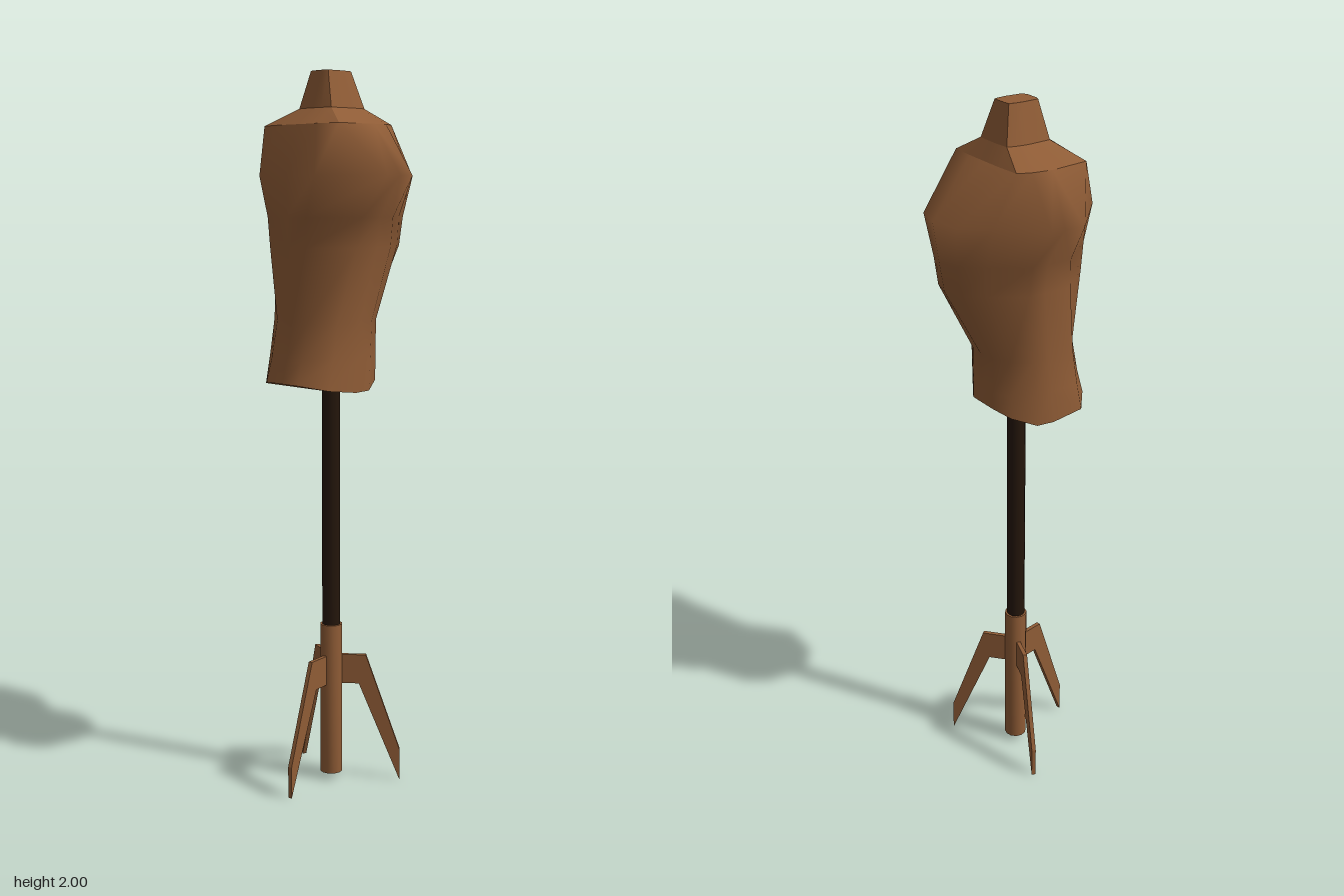
import * as THREE from 'three';
import { toCreasedNormals } from 'three/addons/utils/BufferGeometryUtils.js';

const CX = -0.031, CZ = -0.012; // axis of the stand
const wood = new THREE.MeshStandardMaterial({ color: 0x8f5c36 });
const woodThin = new THREE.MeshStandardMaterial({ color: 0x8f5c36, side: THREE.DoubleSide });
const dark = new THREE.MeshStandardMaterial({ color: 0x24160b });

function add(group, name, geometry, material) {
  const mesh = new THREE.Mesh(geometry, material);
  mesh.name = name;
  group.add(mesh);
  return mesh;
}

// Half outlines from back to chest: [fraction of depth, fraction of half width]
const bust = [[0, 0], [0, 0.44], [0.31, 1], [0.44, 0.97], [0.54, 0.98], [0.78, 0.54], [0.95, 0.31], [1, 0]];
const box = [[0, 0], [0, 0.48], [0.06, 0.92], [0.57, 1], [0.82, 0.94], [0.98, 0.84], [1, 0.4], [1, 0]];

// Rings from hip to neck: height, back x, front x, centre z, half width, blend from bust to box
const hem = [1.138, -0.21, 0.09, -0.016, 0.135, 0.5];
const shoulder = [1.855, -0.15, 0.075, -0.016, 0.161, 1];
const neckBase = [1.9, -0.09, 0.05, -0.019, 0.069, 1];
const neckTop = [2, -0.07, 0.025, -0.02, 0.037, 1];
const bodyRings = [
  hem,
  [1.23, -0.19, 0.09, -0.017, 0.134, 0.5],
  [1.33, -0.17, 0.09, -0.017, 0.133, 0.5],
  [1.53, -0.188, 0.198, -0.012, 0.163, 0.2],
  [1.61, -0.195, 0.21, -0.009, 0.173, 0.12],
  [1.72, -0.2, 0.224, -0.004, 0.248, 0],
  shoulder,
];

const N = 14;
const mirror = (i) => (N - i) % N;

// The hem sweeps up towards the back and more sharply towards the front
function hemRise(x) {
  const d = x - CX;
  return d * d * (d < 0 ? 0.8 : 3.4);
}

function ringPoints(ring) {
  const [height, back, front, z, width, blend] = ring;
  const pos = [];
  for (let k = 0; k < N; k++) {
    const i = Math.min(k, N - k);
    const x = THREE.MathUtils.lerp(back, front, THREE.MathUtils.lerp(bust[i][0], box[i][0], blend));
    const w = width * THREE.MathUtils.lerp(bust[i][1], box[i][1], blend);
    pos.push(x, height + (ring === hem ? hemRise(x) : 0), z + (k <= 7 ? w : -w));
  }
  return pos;
}

function indexed(pos, index) {
  const g = new THREE.BufferGeometry();
  g.setAttribute('position', new THREE.Float32BufferAttribute(pos, 3));
  g.setIndex(index);
  return g;
}

// Skin through a list of rings, with diagonals mirrored between the two sides
function skin(rings) {
  const index = [];
  for (let r = 0; r < rings.length - 1; r++) {
    for (let k = 0; k < N; k++) {
      const a = r * N + k, b = r * N + (k + 1) % N, c = b + N, d = a + N;
      const frontHalf = Math.min(k, N - 1 - k) >= 3;
      if ((k < 7) === frontHalf) index.push(a, b, d, b, c, d);
      else index.push(a, b, c, a, c, d);
    }
  }
  return indexed(rings.flatMap(ringPoints), index);
}

// Cap over one ring, as strips running from back to front
function cap(ring, up) {
  const index = [];
  for (let i = 0; i < 7; i++) {
    const a = i, b = i + 1, c = mirror(i + 1), d = mirror(i);
    if (b !== c) index.push(...(up ? [a, b, c] : [c, b, a]));
    if (a !== d) index.push(...(up ? [a, c, d] : [d, c, a]));
  }
  const g = indexed(ringPoints(ring), index);
  g.computeVertexNormals();
  return g;
}

export function createModel() {
  const model = new THREE.Group();
  model.name = 'dressForm';

  // torso: smooth body with crisp edges at shoulders, neck and hem
  const torso = new THREE.Group();
  torso.name = 'torso';
  model.add(torso);
  const body = skin(bodyRings);
  body.computeVertexNormals();
  add(torso, 'body', body, wood);
  add(torso, 'underside', cap(hem, false), wood);
  add(torso, 'shoulders', toCreasedNormals(skin([shoulder, neckBase]), 0.5), wood);
  add(torso, 'neck', toCreasedNormals(skin([neckBase, neckTop]), 0.5), wood);
  add(torso, 'neckCap', cap(neckTop, true), wood);

  // stand
  const stand = new THREE.Group();
  stand.name = 'stand';
  stand.position.set(CX, 0, CZ);
  model.add(stand);

  add(stand, 'pole', new THREE.CylinderGeometry(0.026, 0.026, 1.12, 12), dark).position.y = 0.595;

  // sleeve around the foot of the pole, closed at the top
  const hub = [[0.032, 0.02], [0.032, 0.46], [0.02, 0.46]].map(([r, y]) => new THREE.Vector2(r, y));
  add(stand, 'hub', toCreasedNormals(new THREE.LatheGeometry(hub, 12), 0.7), woodThin);

  // three flat bent legs
  const outline = [[0.02, 0.37], [0.1, 0.37], [0.198, 0.09], [0.198, 0], [0.08, 0.285], [0.02, 0.285]];
  const shape = new THREE.Shape(outline.map(([x, y]) => new THREE.Vector2(x, y)));
  const legGeometry = new THREE.ExtrudeGeometry(shape, { depth: 0.012, bevelEnabled: false });
  legGeometry.translate(0, 0, -0.006);
  for (let i = 0; i < 3; i++) {
    const leg = add(stand, 'leg' + (i + 1), legGeometry, wood);
    leg.rotation.y = -THREE.MathUtils.degToRad(169 + 120 * i);
  }
  return model;
}
